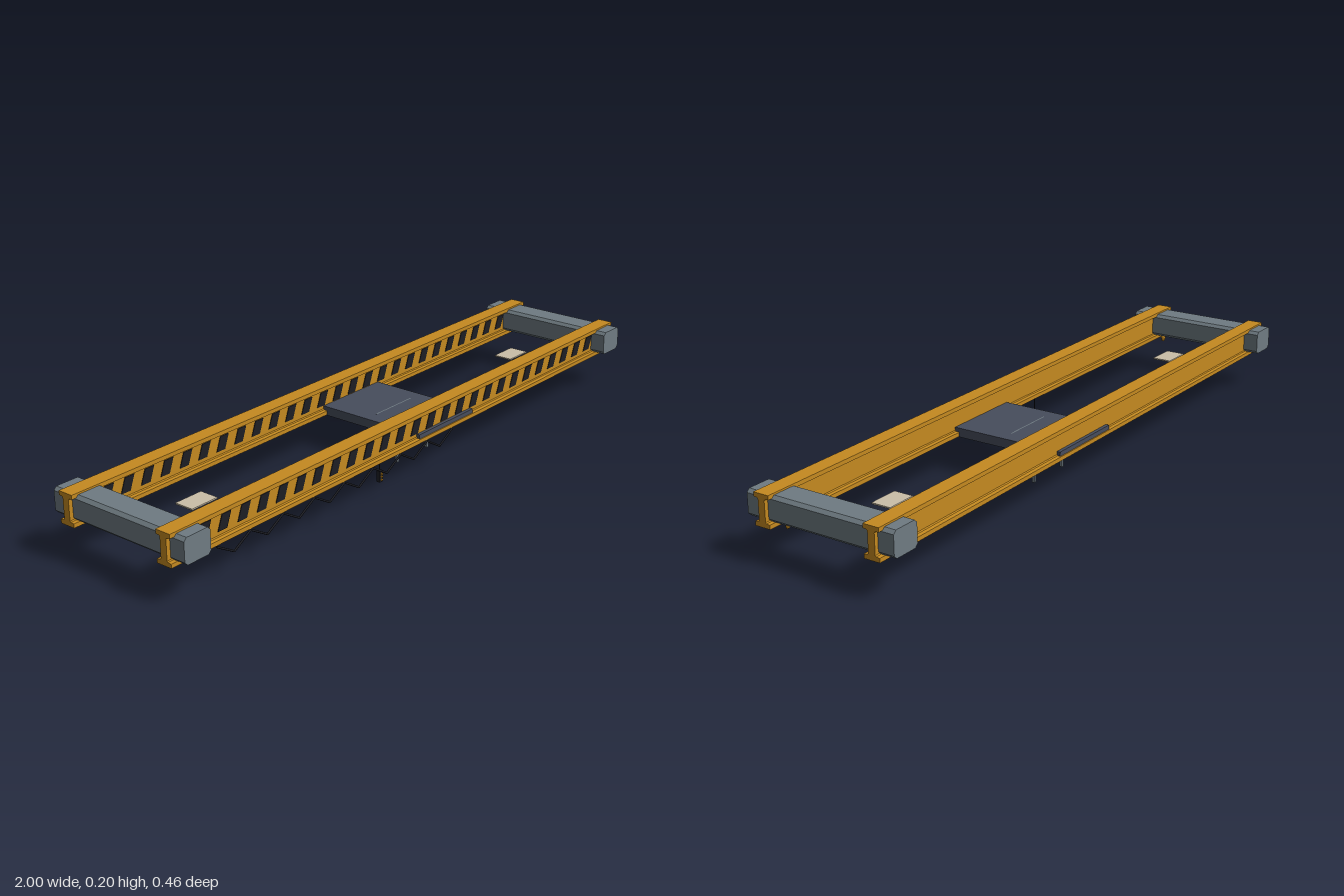
import * as THREE from 'three';

const mat = (name, color, flatShading = false) => {
  const m = new THREE.MeshStandardMaterial({ color, flatShading });
  m.name = name;
  return m;
};

export function createModel() {
  const orange = mat('safety orange', 0xc58a20);
  const steel = mat('steel grey', 0x6f7b82);
  const slate = mat('trolley slate', 0x474d5c);
  const black = mat('black', 0x1d1e24);
  const beige = mat('beige', 0xcbbfa8);

  const root = new THREE.Group();
  root.name = 'overheadCrane';

  const add = (name, geo, material, x = 0, y = 0, z = 0, parent = root) => {
    const mesh = new THREE.Mesh(geo, material);
    mesh.name = name;
    mesh.position.set(x, y, z);
    parent.add(mesh);
    return mesh;
  };
  // Box given by its limits on each axis
  const box = (name, m, x0, x1, y0, y1, z0, z1, parent) =>
    add(name, new THREE.BoxGeometry(x1 - x0, y1 - y0, z1 - z0), m,
      (x0 + x1) / 2, (y0 + y1) / 2, (z0 + z1) / 2, parent);
  const prism = (pts, depth) => {
    const shape = new THREE.Shape(pts.map(([x, y]) => new THREE.Vector2(x, y)));
    return new THREE.ExtrudeGeometry(shape, { depth, bevelEnabled: false }).translate(0, 0, -depth / 2);
  };
  const rod = (name, m, r, a, b, parent) => {
    const from = new THREE.Vector3(...a), to = new THREE.Vector3(...b);
    const dir = to.clone().sub(from);
    const mesh = add(name, new THREE.CylinderGeometry(r, r, dir.length(), 8), m, 0, 0, 0, parent);
    mesh.position.copy(from).add(to).multiplyScalar(0.5);
    mesh.quaternion.setFromUnitVectors(new THREE.Vector3(0, 1, 0), dir.normalize());
    return mesh;
  };

  // I-beam girders with hazard stripes on the front of the web
  const quarter = [[0.024, 0.045], [0.024, 0.033], [0.013, 0.032], [0.0105, 0.029]];
  const half = [...quarter, ...quarter.map(([x, y]) => [x, -y]).reverse()];
  const section = [...half, ...half.map(([x, y]) => [-x, y]).reverse()].reverse();
  const girderGeo = prism(section, 2).rotateY(Math.PI / 2);
  const stripeGeo = prism([[-0.024, -0.021], [0.008, -0.021], [0.024, 0.021], [-0.008, 0.021]], 0.003);
  for (const z of [0.172, -0.172]) {
    const girder = new THREE.Group();
    girder.name = z > 0 ? 'frontGirder' : 'rearGirder';
    root.add(girder);
    add('beam', girderGeo, orange, 0, 0.155, z, girder);
    for (let i = 0; i < 26; i++) {
      add('hazardStripe', stripeGeo, black, -0.875 + i * 0.07, 0.158, z + 0.011, girder);
    }
  }

  // End carriages with chamfered edges
  const w = 0.044, h = 0.0365, c = 0.009;
  const carriageGeo = prism([
    [-w + c, -h], [w - c, -h], [w, -h + c], [w, h - c],
    [w - c, h], [-w + c, h], [-w, h - c], [-w, -h + c]], 0.46);
  const lampPoints = [[0, -0.012], [0.005, -0.012], [0.006, -0.003], [0.008, -0.002], [0.008, 0.014], [0, 0.014]];
  const lampGeo = new THREE.LatheGeometry(lampPoints.map(([x, y]) => new THREE.Vector2(x, y)), 12);
  for (const s of [-1, 1]) {
    add('endCarriage', carriageGeo, steel, s * 0.944, 0.1585, 0);
    add('warningLamp', lampGeo, orange, s * 0.943, 0.107, 0.143);
    // Thin plates between the girders
    box('walkwayPlate', beige, s * 0.715 - 0.046, s * 0.715 + 0.046, 0.122, 0.126, -0.034, 0.026);
  }

  // Trolley and hoist drum
  const cx = 0.097;
  box('trolleyDeck', slate, -0.03, 0.225, 0.108, 0.135, -0.193, 0.193);
  add('hoistDrum', new THREE.CylinderGeometry(0.032, 0.032, 0.165, 12).rotateZ(Math.PI / 2),
    steel, cx, 0.1035, 0);

  // Hoist block, spreader plate, legs, ropes and hook
  const lift = new THREE.Group();
  lift.name = 'liftingGear';
  root.add(lift);
  box('hoistBlock', orange, 0.077, 0.117, 0.046, 0.097, -0.044, 0.044, lift);
  box('spreaderPlate', orange, 0.02, 0.175, 0.033, 0.047, -0.078, 0.078, lift);
  for (const x of [0.026, 0.169]) {
    for (const z of [-0.069, 0.069]) {
      box('spreaderLeg', steel, x - 0.004, x + 0.004, 0, 0.034, z - 0.004, z + 0.004, lift);
    }
  }
  for (const x of [0.067, 0.127]) rod('hoistRope', black, 0.002, [x, 0.046, 0], [x, 0.09, 0], lift);
  rod('hookShank', black, 0.004, [0.105, 0.02, 0], [0.105, 0.034, 0], lift);
  const hook = add('hook', new THREE.TorusGeometry(0.009, 0.0025, 6, 16, Math.PI * 1.4), black, 0.105, 0.014, 0, lift);
  hook.rotation.z = -Math.PI * 0.9;

  // Zigzag power cable along the front
  const cable = new THREE.Group();
  cable.name = 'festoonCable';
  root.add(cable);
  const step = 0.0603;
  for (let i = 0; i < 16; i++) {
    const y = k => (k % 2 ? 0.081 : 0.116);
    rod('cableSpan', black, 0.0028, [-0.86 + i * step, y(i), 0.208], [-0.86 + (i + 1) * step, y(i + 1), 0.208], cable);
  }

  // Hanging pendant control
  const pendant = new THREE.Group();
  pendant.name = 'pendantControl';
  root.add(pendant);
  rod('pendantCable', black, 0.0016, [-0.131, 0.04, 0.13], [-0.131, 0.122, 0.13], pendant);
  box('pendantCase', black, -0.138, -0.124, 0.01, 0.044, 0.124, 0.136, pendant);
  for (const y of [0.017, 0.026, 0.035]) {
    add('button', new THREE.CylinderGeometry(0.0035, 0.0035, 0.004, 10).rotateX(Math.PI / 2),
      orange, -0.131, y, 0.137, pendant);
  }
  return root;
}
